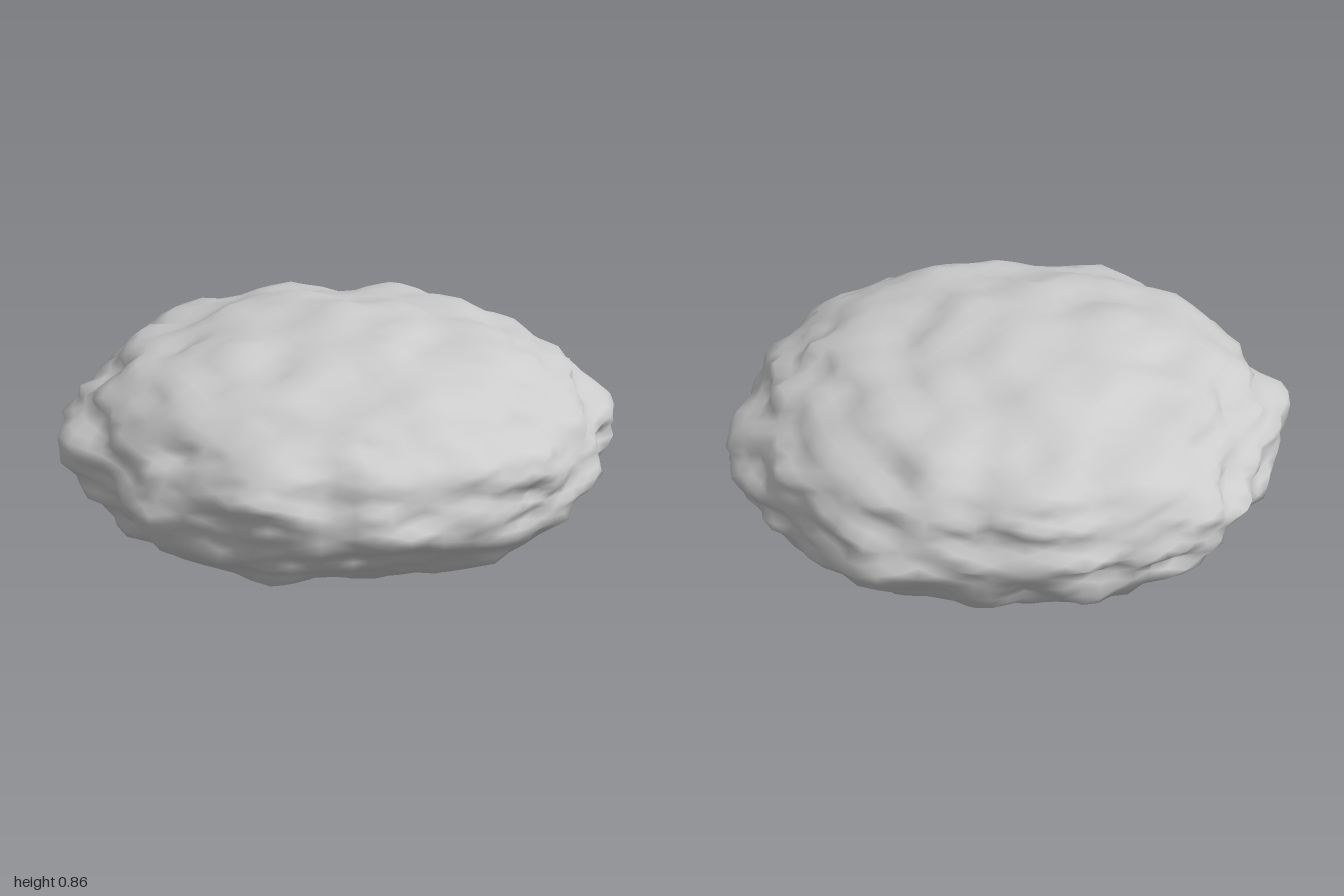
import * as THREE from 'three';
import { mergeVertices } from 'three/addons/utils/BufferGeometryUtils.js';

// Plan radius every 15 degrees, from +x towards +z
const OUTLINE = [0.96, 1.0, 0.97, 1.0, 0.97, 0.96, 0.95, 1.03, 0.95, 0.99, 0.95, 1.03,
  0.96, 0.97, 1.0, 1.03, 1.03, 1.02, 0.97, 1.02, 1.03, 1.0, 1.02, 1.02];
const FLATNESS = 0.425;

const lerp = THREE.MathUtils.lerp;

function outlineRadius(angle) {
  const n = OUTLINE.length;
  const t = ((angle / (Math.PI * 2)) * n + n) % n;
  const i = Math.floor(t);
  return lerp(OUTLINE[i % n], OUTLINE[(i + 1) % n], t - i);
}

// Repeatable lattice value in -1..1
function hash(x, y, z) {
  let h = Math.imul(x, 374761393) ^ Math.imul(y, 668265263) ^ Math.imul(z, 873357521);
  h = Math.imul(h ^ (h >>> 13), 1274126177);
  h = Math.imul(h ^ (h >>> 15), 2246822519);
  return ((h ^ (h >>> 16)) >>> 0) / 2147483648 - 1;
}

// Smooth value noise
function noise(x, y, z) {
  const i = Math.floor(x), j = Math.floor(y), k = Math.floor(z);
  const fade = (t) => t * t * (3 - 2 * t);
  const u = fade(x - i), v = fade(y - j), w = fade(z - k);
  const row = (b, c) => lerp(hash(i, b, c), hash(i + 1, b, c), u);
  const layer = (c) => lerp(row(j, c), row(j + 1, c), v);
  return lerp(layer(k), layer(k + 1), w);
}

function rockGeometry() {
  let geo = new THREE.IcosahedronGeometry(1, 15);
  geo.deleteAttribute('uv');
  geo.deleteAttribute('normal');
  geo = mergeVertices(geo, 1e-4);

  // Flattened ball, pushed in or out by the plan outline and layered noise
  const pos = geo.attributes.position;
  const d = new THREE.Vector3();
  for (let i = 0; i < pos.count; i++) {
    d.fromBufferAttribute(pos, i).normalize();
    const rim = d.x * d.x + d.z * d.z;
    const plan = lerp(0.98, 0.965 * outlineRadius(Math.atan2(d.z, d.x)), rim * rim);
    const bumps = 0.05 * noise(d.x * 5.5 + 11, d.y * 5.5 + 5, d.z * 5.5 + 7)
      + 0.035 * noise(d.x * 10 + 31, d.y * 10 + 17, d.z * 10 + 23);
    d.multiplyScalar(plan + bumps);
    pos.setXYZ(i, d.x, d.y * FLATNESS, d.z);
  }

  // Rest it on the ground
  geo.computeBoundingBox();
  geo.translate(0, -geo.boundingBox.min.y, 0);
  geo.computeVertexNormals();
  return geo;
}

export function createModel() {
  const group = new THREE.Group();
  group.name = 'boulder';
  const rock = new THREE.Mesh(rockGeometry(), new THREE.MeshStandardMaterial({ color: 0xcccccc }));
  rock.name = 'rock';
  group.add(rock);
  return group;
}
